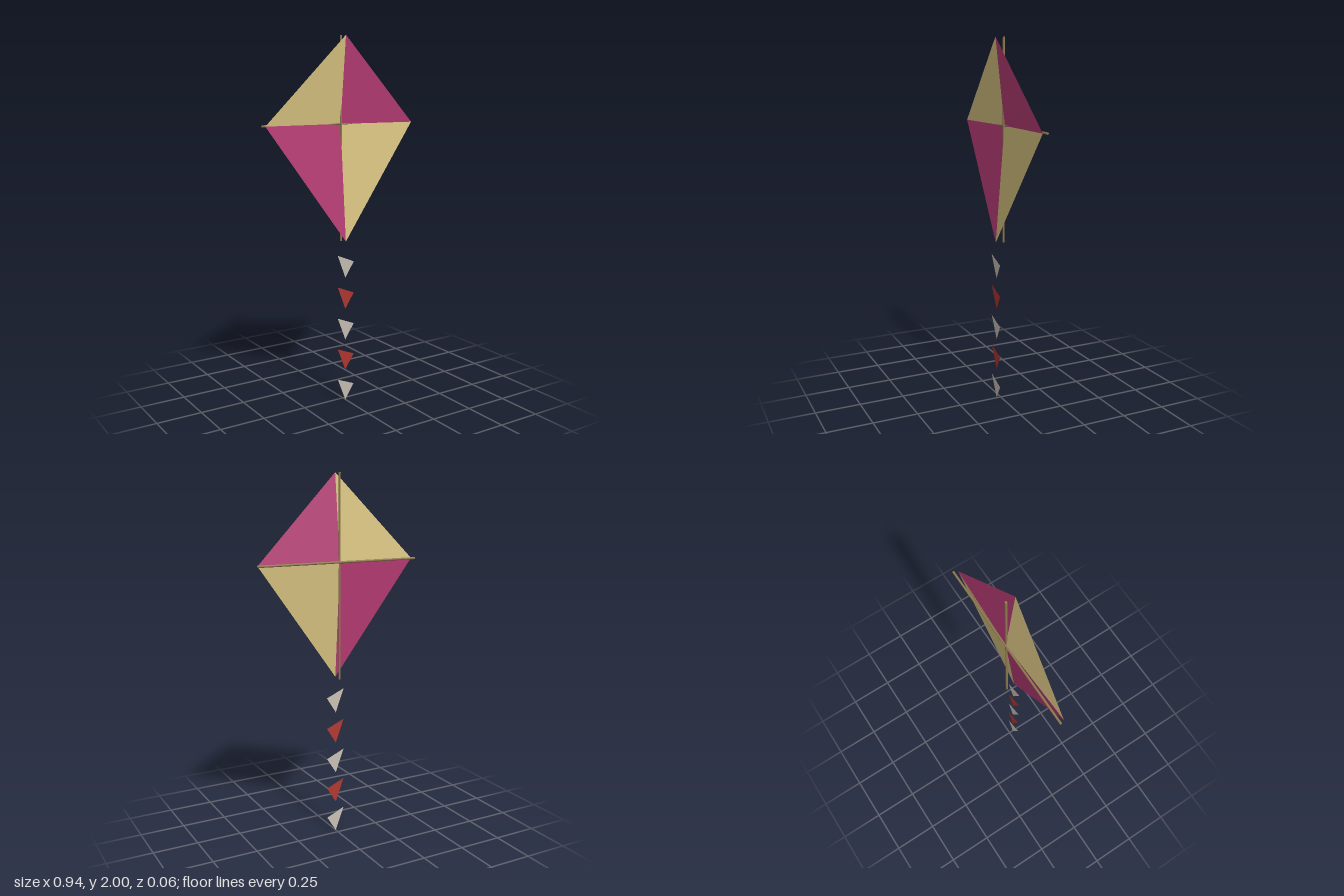
import * as THREE from 'three';

const paint = (name, color, side = THREE.FrontSide) => {
  const m = new THREE.MeshStandardMaterial({ color, side });
  m.name = name;
  return m;
};

// Single flat triangle with straight corners
function triangle(name, corners, material) {
  const g = new THREE.BufferGeometry();
  g.setAttribute('position', new THREE.Float32BufferAttribute(corners.flat(), 3));
  g.computeVertexNormals();
  const mesh = new THREE.Mesh(g, material);
  mesh.name = name;
  return mesh;
}

export function createModel() {
  const kite = new THREE.Group();
  kite.name = 'kite';
  const tan = paint('tan cloth', 0xd8c381, THREE.DoubleSide);
  const magenta = paint('magenta cloth', 0xb63b74, THREE.DoubleSide);
  const wood = paint('spar wood', 0x917a50);
  const grey = paint('pale grey ribbon', 0xc6beb2, THREE.DoubleSide);
  const red = paint('red ribbon', 0xb03630, THREE.DoubleSide);

  // Sail: four panels meeting at a centre pulled back against the spars
  const sail = new THREE.Group();
  sail.name = 'sail';
  const centre = [0, 1.54, -0.022];
  const top = [0, 2, 0.03];
  const bottom = [0, 0.908, 0.03];
  const left = [0.46, 1.54, -0.003];
  const right = [-0.46, 1.54, -0.003];
  sail.add(
    triangle('upperLeftPanel', [centre, left, top], magenta),
    triangle('upperRightPanel', [centre, top, right], tan),
    triangle('lowerRightPanel', [centre, right, bottom], magenta),
    triangle('lowerLeftPanel', [centre, bottom, left], tan)
  );
  kite.add(sail);

  // Crossed spars behind the sail
  const spar = (name, length, y, z) => {
    const g = new THREE.CylinderGeometry(0.006, 0.006, length, 8);
    const mesh = new THREE.Mesh(g, wood);
    mesh.name = name;
    mesh.position.set(0, y, z);
    kite.add(mesh);
    return mesh;
  };
  spar('uprightSpar', 1.095, 1.4525, -0.018);
  spar('crossSpar', 0.94, 1.54, -0.0245).rotation.z = Math.PI / 2;

  // Tail: slanted ribbon triangles in alternating colours
  const tail = new THREE.Group();
  tail.name = 'tail';
  for (let i = 0; i < 5; i++) {
    const y = 0.706 - i * 0.1765;
    const corners = [[-0.053, y + 0.13, 0.031], [0, y, 0.025], [0.053, y + 0.086, 0.029]];
    tail.add(triangle('tailRibbon' + (i + 1), corners, i % 2 ? red : grey));
  }
  kite.add(tail);
  return kite;
}
